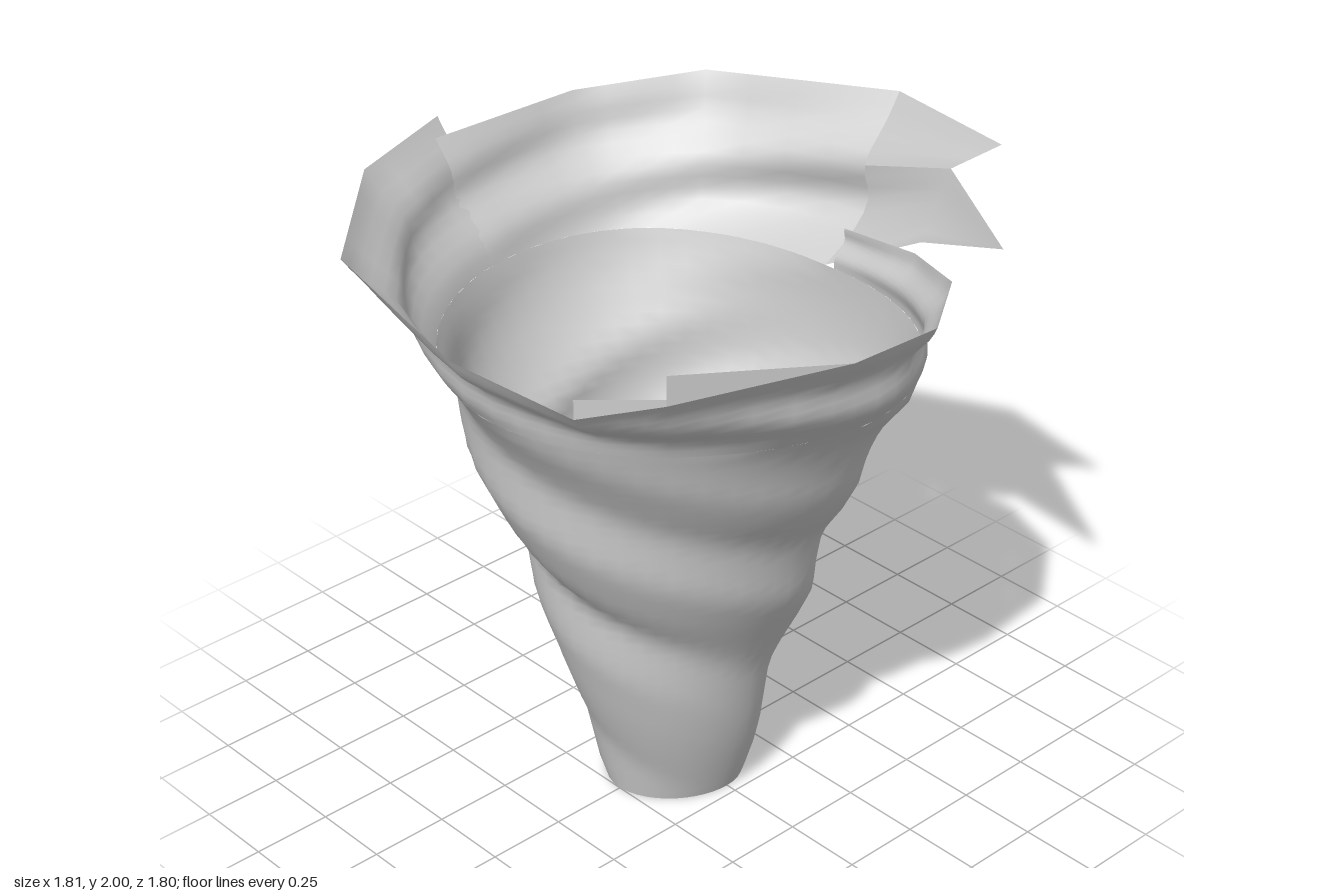
import * as THREE from 'three';

const STEP = 0.1, TOP = 1.5, SLOPE = 0.27, PITCH = 0.36;
// Wall radius every 0.1 in height, towards +z, +x, -z and -x
const PROFILES = [
  [0.25, 0.27, 0.29, 0.33, 0.365, 0.395, 0.425, 0.43, 0.43, 0.51, 0.56, 0.605, 0.61, 0.615, 0.67, 0.735],
  [0.215, 0.25, 0.28, 0.3, 0.31, 0.32, 0.365, 0.415, 0.46, 0.465, 0.48, 0.55, 0.6, 0.62, 0.66, 0.74],
  [0.17, 0.19, 0.21, 0.23, 0.27, 0.31, 0.33, 0.35, 0.38, 0.42, 0.45, 0.5, 0.57, 0.59, 0.6, 0.6],
  [0.2, 0.22, 0.245, 0.27, 0.295, 0.32, 0.35, 0.375, 0.43, 0.47, 0.49, 0.49, 0.57, 0.63, 0.67, 0.69],
];
const lerp = THREE.MathUtils.lerp;

const straight = (p, y) => lerp(p[0], p[15], y / TOP);

// How far a profile bulges from a straight cone at height y
function bulge(p, y) {
  y = THREE.MathUtils.clamp(y, 0, TOP);
  const i = Math.min(14, Math.floor(y / STEP));
  return lerp(p[i], p[i + 1], y / STEP - i) - straight(p, y);
}

// Point on the funnel; bulges sink as the angle grows, giving spiral ridges
function wallPoint(angle, y) {
  const q = THREE.MathUtils.euclideanModulo(angle / (Math.PI / 2), 4);
  const k = Math.floor(q) % 4, u = q - Math.floor(q);
  const a = PROFILES[k], b = PROFILES[(k + 1) % 4];
  const smooth = (1 - Math.cos(Math.PI * u)) / 2;
  const r = lerp(straight(a, y), straight(b, y), smooth)
    + lerp(bulge(a, y + SLOPE * u), bulge(b, y - SLOPE * (1 - u)), smooth);
  return [r * Math.sin(angle), y, r * Math.cos(angle)];
}

// Smooth surface through rows of points; closed joins last column to first
function gridGeometry(rows, closed = false) {
  const n = rows[0].length, index = [];
  for (let j = 0; j < rows.length - 1; j++) {
    for (let i = 0; i < (closed ? n : n - 1); i++) {
      const a = j * n + i, b = j * n + (i + 1) % n;
      index.push(a, b, b + n, a, b + n, a + n);
    }
  }
  const g = new THREE.BufferGeometry();
  g.setAttribute('position', new THREE.Float32BufferAttribute(rows.flat(2), 3));
  g.setIndex(index);
  g.computeVertexNormals();
  return g;
}

// Flared sheet leaving the wall along its slope and rippling out to a ragged rim;
// swell pushes the foot of the sheet outwards, fading from the last rim point to the first
function flareRows(rim, swell = 0, sub = 4, levels = 12) {
  const tops = [];
  rim.forEach((p, i) => {
    if (i === rim.length - 1) return tops.push(p);
    for (let s = 0; s < sub; s++) tops.push(p.map((v, c) => lerp(v, rim[i + 1][c], s / sub)));
  });
  return Array.from({ length: levels + 1 }, (_, l) => tops.map((top, i) => {
    const t = l / levels, angle = Math.atan2(top[0], top[2]);
    const base = wallPoint(angle, TOP), under = wallPoint(angle, TOP - 0.05);
    const y = lerp(TOP, top[1], t);
    const ridge = 1.53 + SLOPE * (1 - angle / (Math.PI / 2));
    const out = 0.035 * Math.sin(Math.PI * t) ** 2 * Math.cos((2 * Math.PI * (y - ridge)) / PITCH)
      + swell * 9.5 * t * (1 - t) ** 3 * (i / (tops.length - 1)) ** 2;
    const dir = [Math.sin(angle), 0, Math.cos(angle)];
    return base.map((v, c) => {
      const reach = top[c] - v, slope = ((v - under[c]) / 0.05) * (top[1] - TOP);
      return v + reach * t + t * (1 - t) ** 2 * (slope - reach) + out * dir[c];
    });
  }));
}

export function createModel() {
  const group = new THREE.Group();
  const material = new THREE.MeshStandardMaterial({ color: 0xcccccc, side: THREE.DoubleSide });
  const add = (name, geometry) => {
    const mesh = new THREE.Mesh(geometry, material);
    mesh.name = name;
    group.add(mesh);
  };

  // Twisted funnel wall
  const SEG = 48, ROWS = 45;
  const ring = (y) => Array.from({ length: SEG }, (_, i) => wallPoint((i / SEG) * Math.PI * 2, y));
  const wall = [];
  for (let j = 0; j <= ROWS; j++) wall.push(ring((TOP * j) / ROWS));
  add('funnelWall', gridGeometry(wall, true));

  // Flat floor
  add('floor', gridGeometry([ring(0).map(() => [0.005, 0, 0.035]), ring(0)], true));

  // Front sheet: from the left tip round the front and right to the back
  const stepA = [0.48, 1.73, 0.82], stepB = [0.67, 1.79, 0.67], peak = [0.9, 1.84, 0.22];
  add('frontRim', gridGeometry(flareRows([
    [-0.91, 1.91, 0.13], [-0.8, 1.89, 0.49], [-0.46, 1.85, 0.84], [0.08, 1.77, 0.9], stepA, stepB,
    peak, [0.84, 1.78, -0.16], [0.62, 1.73, -0.46], [0.35, 1.67, -0.6], [0.03, 1.62, -0.64],
  ])));

  // Torn steps standing on the front rim
  add('lowRimStep', gridGeometry([[stepA, stepB], [[0.48, 1.79, 0.82], [0.67, 1.81, 0.67]]]));
  add('highRimStep', gridGeometry([[stepB, peak], [[0.67, 1.88, 0.67], peak]]));

  // Back sheet: starts inside the left tip and climbs round the back
  const backRows = flareRows([
    [-0.01, 1.97, -0.9], [-0.6, 1.92, -0.67], [-0.83, 1.88, -0.33], [-0.86, 1.87, 0.18],
  ].reverse(), 0.11);
  add('backRim', gridGeometry(backRows));

  // Torn tail carried on from the end of the back sheet, split into two spikes
  const edge = backRows.map((row) => row[row.length - 1]);
  const notch = [0.33, 1.88, -0.76], tip = [0.79, 1.89, -0.47], spike = [0.49, 2, -0.79];
  const fan = (points, from, to) => points.map((p, i) => {
    const t = i / (points.length - 1);
    return [p, from.map((v, c) => lerp(v, to[c], t))];
  });
  add('upperSpike', gridGeometry(fan(edge.slice(7), notch, spike)));
  const lower = fan(edge.slice(0, 8), [0.3, 1.66, -0.68], notch);
  add('lowerSpike', gridGeometry(lower.map((row) => [...row, tip])));

  return group;
}
